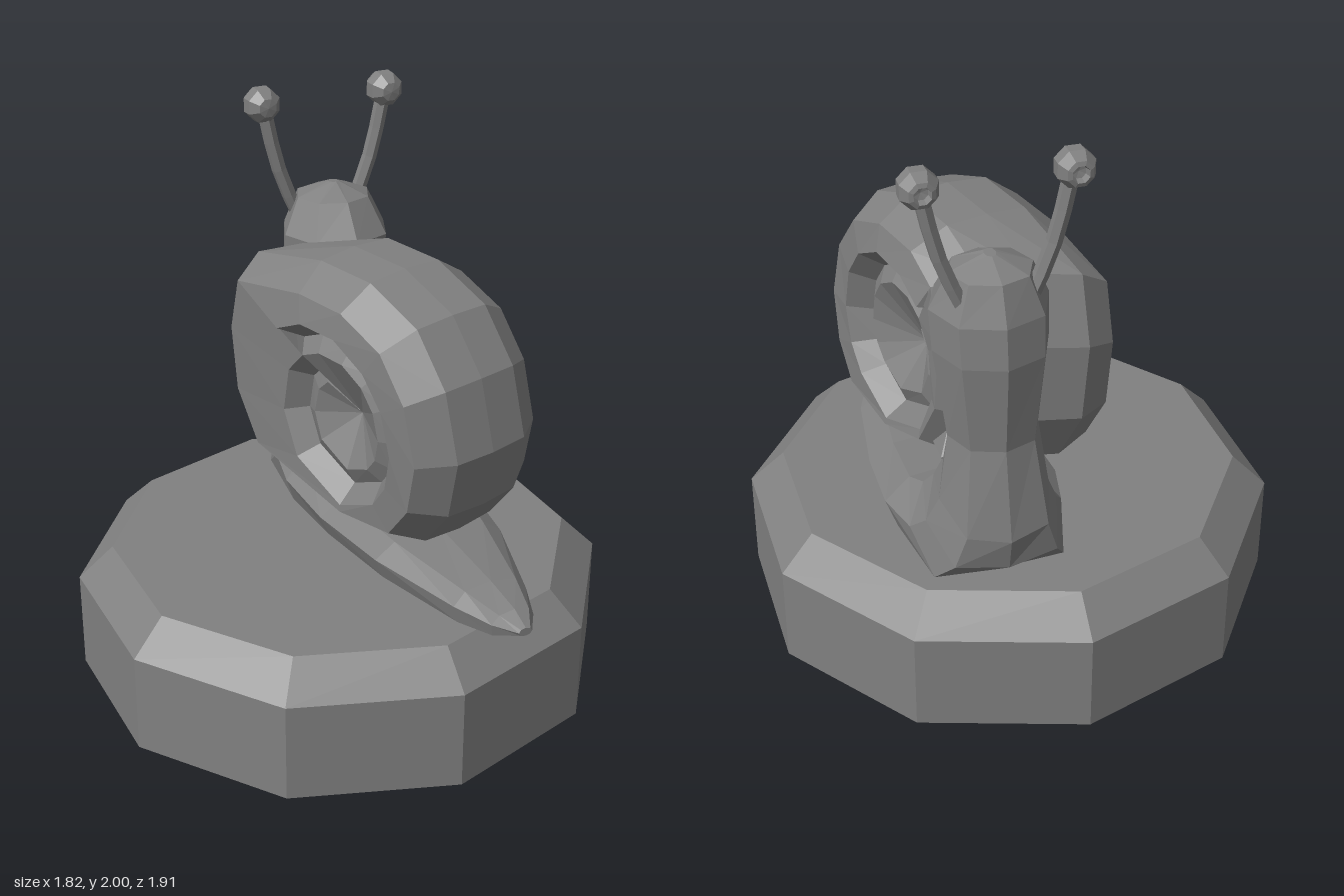
import * as THREE from 'three';

const stone = new THREE.MeshStandardMaterial({ color: 0x808080, flatShading: true, side: THREE.DoubleSide });
stone.name = 'grey stone';
const V = (x, y, z) => new THREE.Vector3(x, y, z);
const MID = 0.22; // the snail sits left of the plinth centre

function mesh(name, geometry) {
  const m = new THREE.Mesh(geometry, stone);
  m.name = name;
  return m;
}

// Collects triangles and quads into a faceted geometry
function faceBuilder() {
  const pos = [];
  const tri = (a, b, c) => { for (const p of [a, b, c]) pos.push(p.x, p.y, p.z); };
  return {
    tri,
    quad(a, b, c, d) { tri(a, b, c); tri(a, c, d); },
    build() {
      const g = new THREE.BufferGeometry();
      g.setAttribute('position', new THREE.Float32BufferAttribute(pos, 3));
      g.computeVertexNormals();
      return g;
    },
  };
}

// Body: cross-sections swept from the tail, along the foot and up the neck
function bodyGeometry() {
  // inner z, inner y, outer z, outer y, half width, flatness of the sole
  const sections = [
    [0.955, 0.56, 0.955, 0.53, 0.025, 0],
    [0.88, 0.59, 0.86, 0.495, 0.08, 1],
    [0.72, 0.61, 0.72, 0.48, 0.14, 1],
    [0.35, 0.63, 0.35, 0.48, 0.25, 1],
    [0, 0.64, 0, 0.48, 0.3, 1],
    [-0.26, 0.68, -0.3, 0.48, 0.31, 1],
    [-0.3, 0.71, -0.63, 0.48, 0.27, 0.8],
    [-0.33, 0.76, -0.735, 0.56, 0.23, 0.4],
    [-0.36, 0.84, -0.76, 0.68, 0.19, 0.2],
    [-0.4, 1.0, -0.7, 1.0, 0.155, 0],
    [-0.34, 1.32, -0.725, 1.32, 0.195, 0],
    [-0.315, 1.46, -0.71, 1.46, 0.2, 0],
    [-0.4, 1.59, -0.66, 1.59, 0.14, 0],
    [-0.5, 1.64, -0.55, 1.635, 0.02, 0],
  ];
  const rings = sections.map(([zi, yi, zo, yo, w, f]) => {
    const side = [[0.7, 0.13], [1, 0.5], [0.7 + 0.18 * f, 0.87 + 0.13 * f]];
    const shape = [[0, 0], ...side, [0, 1], ...side.slice().reverse().map(([s, t]) => [-s, t])];
    return shape.map(([s, t]) => V(MID + s * w, yi + (yo - yi) * t, zi + (zo - zi) * t));
  });
  const f = faceBuilder();
  const n = 8, last = rings.length - 1;
  for (let j = 0; j < last; j++) {
    for (let i = 0; i < n; i++) {
      const k = (i + 1) % n;
      f.quad(rings[j][i], rings[j][k], rings[j + 1][k], rings[j + 1][i]);
    }
  }
  for (let i = 1; i < n - 1; i++) {
    f.tri(rings[0][0], rings[0][i + 1], rings[0][i]);
    f.tri(rings[last][0], rings[last][i], rings[last][i + 1]);
  }
  return f.build();
}

// Shell: a broad faceted rim with a spiral hollow wound into each side
function shellGeometry() {
  const hub = [0.05, 1.0]; // z, y
  const outline = [[-0.32, 1.46], [-0.12, 1.54], [0.15, 1.54], [0.39, 1.45], [0.53, 1.27], [0.59, 1.02],
    [0.54, 0.8], [0.42, 0.65], [0.1, 0.61], [-0.24, 0.71], [-0.37, 0.93], [-0.39, 1.22]];
  const n = outline.length;
  const f = faceBuilder();
  for (const side of [1, -1]) {
    const quad = (a, b, c, d) => (side > 0 ? f.quad(a, b, c, d) : f.quad(d, c, b, a));
    // point on the rim, scaled towards the hub; the right side bulges past the neck
    const rim = (k, s, x) => {
      const [z0, y] = outline[k % n];
      const z = z0 < -0.2 ? z0 - 0.1 + 0.5 * side * x : z0;
      return V(side * x, hub[1] + (y - hub[1]) * s, hub[0] + (z - hub[0]) * s);
    };
    // point on a circle round the hub, in the direction of outline corner k
    const coil = (k, r, x) => {
      const [z, y] = outline[k % n];
      const d = Math.hypot(z - hub[0], y - hub[1]);
      return V(side * x, hub[1] + (y - hub[1]) / d * r, hub[0] + (z - hub[0]) / d * r);
    };
    const crest = (k) => coil(k, 0.385 - 0.12 * k / n, 0.3 - 0.05 * k / n);
    const groove = (k) => coil(k, 0.325 - 0.12 * k / n, 0.21 - 0.03 * k / n);
    const bands = [[1.01, 0], [0.99, 0.15], [0.84, 0.27]];
    for (let k = 0; k < n; k++) {
      for (let b = 0; b < 2; b++) {
        const [s0, x0] = bands[b], [s1, x1] = bands[b + 1];
        quad(rim(k, s0, x0), rim(k + 1, s0, x0), rim(k + 1, s1, x1), rim(k, s1, x1));
      }
      quad(rim(k, 0.84, 0.27), rim(k + 1, 0.84, 0.27), crest(k + 1), crest(k));
      // one turn of the coil, then the funnel to the hub
      quad(crest(k), crest(k + 1), groove(k + 1), groove(k));
      quad(groove(k), groove(k + 1), crest(k + 1 + n), crest(k + n));
      const funnel = [crest(k + n), crest(k + 1 + n), V(side * 0.12, ...hub.slice().reverse())];
      f.tri(...(side > 0 ? funnel : funnel.reverse()));
    }
  }
  return f.build();
}

// Eye stalk with a knob whose front is dimpled
function eyeStalk(side) {
  const g = new THREE.Group();
  g.name = side > 0 ? 'leftEyeStalk' : 'rightEyeStalk';
  const path = new THREE.CatmullRomCurve3([
    V(MID + side * 0.1, 1.48, -0.6), V(MID + side * 0.165, 1.63, -0.6),
    V(MID + side * 0.2, 1.74, -0.6), V(MID + side * 0.235, 1.9, -0.6),
  ]);
  g.add(mesh('stalk', new THREE.TubeGeometry(path, 4, 0.027, 6)));
  const profile = [[0, -0.065], [0.035, -0.06], [0.064, -0.025], [0.066, 0.02],
    [0.045, 0.06], [0.03, 0.065], [0.024, 0.04], [0, 0.035]].map(([r, h]) => new THREE.Vector2(r, h));
  const eye = mesh('eye', new THREE.LatheGeometry(profile, 8, Math.PI / 8));
  eye.rotation.x = -Math.PI / 2;
  eye.position.set(MID + side * 0.245, 1.935, -0.605);
  g.add(eye);
  return g;
}

export function createModel() {
  const model = new THREE.Group();
  model.name = 'snailOnPlinth';

  // Ten-sided plinth with a bevelled top
  const plinth = mesh('plinth', new THREE.CylinderGeometry(0.955, 0.955, 0.36, 10, 1, true));
  plinth.position.y = 0.18;
  const bevel = mesh('plinthBevel', new THREE.CylinderGeometry(0.83, 0.955, 0.12, 10, 1, true));
  bevel.position.y = 0.42;
  const top = mesh('plinthTop', new THREE.CircleGeometry(0.83, 10, Math.PI / 2));
  top.rotation.x = -Math.PI / 2;
  top.position.y = 0.48;
  const base = mesh('plinthUnderside', new THREE.CircleGeometry(0.955, 10, Math.PI / 2));
  base.rotation.x = Math.PI / 2;
  model.add(plinth, bevel, top, base);

  model.add(mesh('body', bodyGeometry()));

  // Flesh where the shell meets the neck
  const mantle = mesh('mantle', new THREE.IcosahedronGeometry(1, 0));
  mantle.scale.set(0.17, 0.14, 0.13);
  mantle.position.set(MID - 0.02, 0.77, -0.28);
  model.add(mantle);

  // Shell, leaning and turned a little on the body
  const shell = mesh('shell', shellGeometry());
  shell.geometry.translate(0, -1.08, 0);
  shell.position.set(0.15, 1.08, 0.01);
  shell.rotation.set(0, 0.23, 0.04);
  model.add(shell);

  model.add(eyeStalk(1), eyeStalk(-1));
  return model;
}
